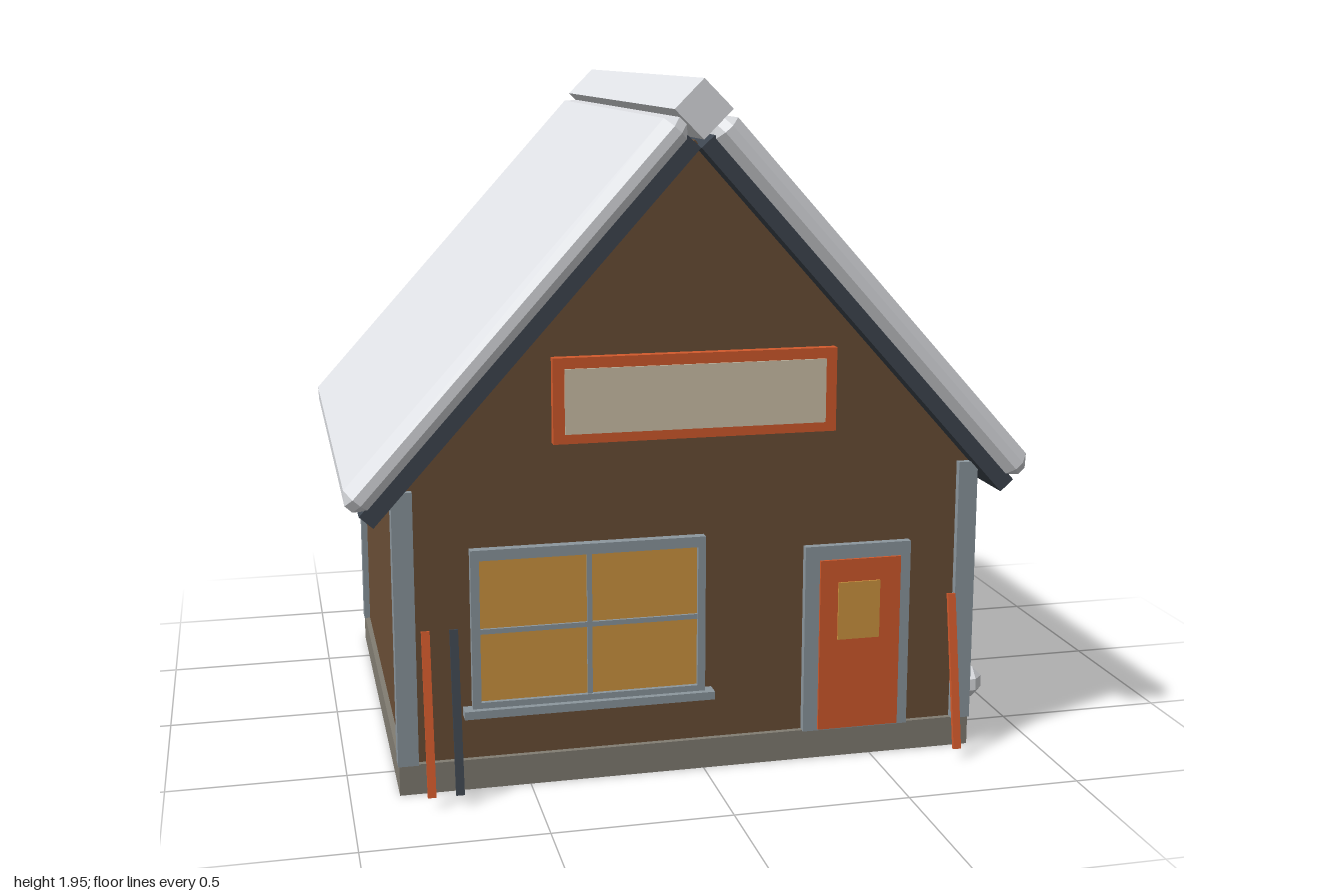
import * as THREE from 'three';
import { ConvexGeometry } from 'three/addons/geometries/ConvexGeometry.js';

const material = (name, color) => {
  const m = new THREE.MeshStandardMaterial({ color });
  m.name = name;
  return m;
};

// Box with every edge cut by a flat chamfer c
function chamferBox(w, h, d, c) {
  const points = [];
  for (const x of [-1, 1]) for (const y of [-1, 1]) for (const z of [-1, 1]) {
    const [a, b, e] = [w / 2, h / 2, d / 2];
    points.push(
      new THREE.Vector3(x * a, y * (b - c), z * (e - c)),
      new THREE.Vector3(x * (a - c), y * b, z * (e - c)),
      new THREE.Vector3(x * (a - c), y * (b - c), z * e));
  }
  return new ConvexGeometry(points);
}

export function createModel() {
  const wood = material('brown wood', 0x6a4e36);
  const stone = material('grey stone', 0x827d73);
  const trim = material('blue grey trim', 0x8c979e);
  const slate = material('dark slate', 0x3e4650);
  const snow = material('snow', 0xdfe1e5);
  const orange = material('orange paint', 0xd25a2c);
  const glass = material('amber glass', 0xd09640);
  const cream = material('cream panel', 0xcfc2aa);

  const model = new THREE.Group();
  model.name = 'cabin';

  const add = (parent, name, geometry, mat, x = 0, y = 0, z = 0) => {
    const mesh = new THREE.Mesh(geometry, mat);
    mesh.name = name;
    mesh.position.set(x, y, z);
    parent.add(mesh);
    return mesh;
  };
  // Box given by its x, y and z ranges
  const block = (parent, name, mat, x0, x1, y0, y1, z0, z1) =>
    add(parent, name, new THREE.BoxGeometry(x1 - x0, y1 - y0, z1 - z0), mat,
      (x0 + x1) / 2, (y0 + y1) / 2, (z0 + z1) / 2);
  // Rectangular frame with a rectangular hole
  const frame = (parent, name, mat, x0, x1, y0, y1, hole, z0, z1) => {
    const rect = (Type, a, b, c, d) => new Type([
      new THREE.Vector2(a, c), new THREE.Vector2(b, c), new THREE.Vector2(b, d), new THREE.Vector2(a, d)]);
    const shape = rect(THREE.Shape, x0, x1, y0, y1);
    shape.holes.push(rect(THREE.Path, ...hole));
    add(parent, name, new THREE.ExtrudeGeometry(shape, { depth: z1 - z0, bevelEnabled: false }), mat, 0, 0, z0);
  };

  // House shell, centred on its own ridge
  const house = new THREE.Group();
  house.name = 'house';
  house.position.set(-0.03, 0, -0.01);
  model.add(house);
  block(house, 'foundation', stone, -0.835, 0.835, 0, 0.087, -0.683, 0.683);
  const gable = new THREE.Shape([[-0.82, 0.08], [0.82, 0.08], [0.82, 0.87], [0, 1.785], [-0.82, 0.87]]
    .map(([x, y]) => new THREE.Vector2(x, y)));
  add(house, 'walls', new THREE.ExtrudeGeometry(gable, { depth: 1.334, bevelEnabled: false }), wood, 0, 0, -0.667);
  for (const sx of [-1, 1]) for (const sz of [-1, 1]) {
    add(house, 'cornerPost', new THREE.BoxGeometry(0.057, 0.775, 0.057), trim, sx * 0.81, 0.4725, sz * 0.659);
  }

  // Two roof slopes, each a slate slab under a snow slab
  for (const turn of [0, Math.PI]) {
    const side = new THREE.Group();
    side.name = 'roofSide';
    side.rotation.y = turn;
    house.add(side);
    const slope = new THREE.Group();
    slope.name = 'roofSlope';
    slope.rotation.z = THREE.MathUtils.degToRad(48);
    side.add(slope);
    add(slope, 'roofSlab', new THREE.BoxGeometry(1.328, 0.05, 1.474), slate, 0.649, 1.208, 0);
    add(slope, 'roofSnow', chamferBox(1.35, 0.087, 1.526, 0.03), snow, 0.659, 1.267, 0);
  }
  const ridge = add(house, 'ridgeSnow', new THREE.BoxGeometry(0.113, 0.113, 1.53), snow, 0, 1.87, 0);
  ridge.rotation.z = Math.PI / 4;

  // Sign board in the gable
  const sign = new THREE.Group();
  sign.name = 'sign';
  model.add(sign);
  block(sign, 'signBoard', orange, -0.428, 0.374, 0.973, 1.21, 0.65, 0.685);
  block(sign, 'signPanel', cream, -0.396, 0.342, 1.0, 1.18, 0.684, 0.69);

  // Front window
  const win = new THREE.Group();
  win.name = 'window';
  model.add(win);
  frame(win, 'windowFrame', trim, -0.66, 0.0, 0.235, 0.69, [-0.636, -0.022, 0.255, 0.66], 0.65, 0.685);
  block(win, 'windowGlass', glass, -0.64, -0.02, 0.25, 0.665, 0.655, 0.672);
  block(win, 'mullion', trim, -0.337, -0.323, 0.25, 0.665, 0.66, 0.68);
  block(win, 'crossbar', trim, -0.64, -0.02, 0.45, 0.464, 0.66, 0.68);
  block(win, 'windowSill', trim, -0.685, 0.025, 0.215, 0.238, 0.65, 0.702);

  // Door with a small pane
  const door = new THREE.Group();
  door.name = 'door';
  model.add(door);
  block(door, 'doorFrame', trim, 0.294, 0.61, 0.085, 0.637, 0.65, 0.68);
  block(door, 'doorLeaf', orange, 0.337, 0.578, 0.09, 0.596, 0.66, 0.688);
  block(door, 'doorPane', glass, 0.39, 0.515, 0.36, 0.53, 0.687, 0.693);

  // Skis leaning on the front wall
  for (const [x, mat] of [[-0.787, orange], [-0.71, slate], [0.732, orange]]) {
    const ski = add(model, 'ski', new THREE.BoxGeometry(0.023, 0.452, 0.012), mat, x, 0.253, 0.734);
    ski.rotation.x = -0.175;
  }

  // Snow drift beside the wall
  add(model, 'snowDrift', chamferBox(0.3, 0.097, 0.325, 0.03), snow, 0.85, 0.052, 0.19);

  return model;
}
